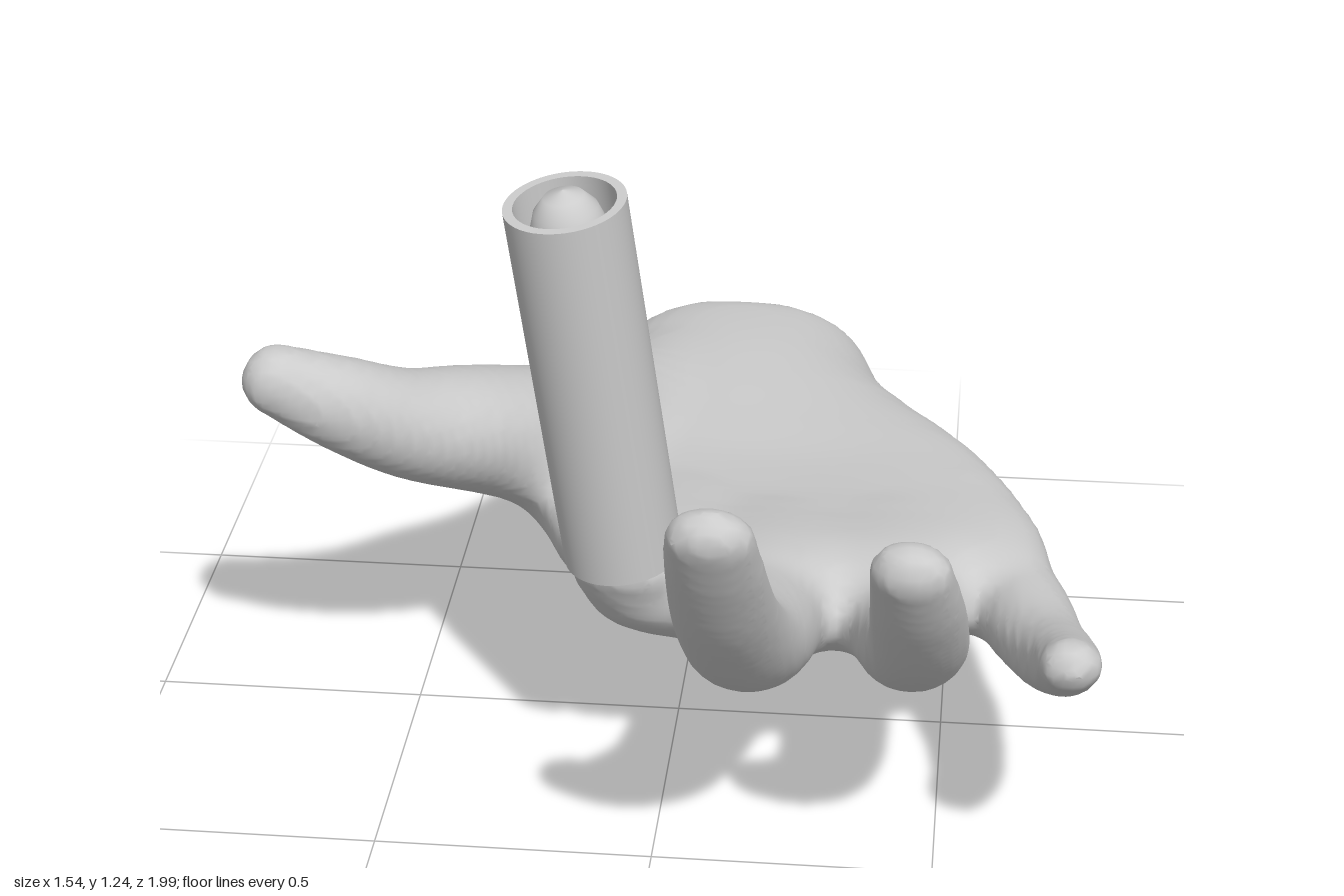
import * as THREE from 'three';

const { abs, max, min, floor } = Math;

// Catmull-Rom sample of every column of a table of rows, u in 0..1
function sample(rows, u) {
  const last = rows.length - 1;
  const i = min(floor(u * last), last - 1);
  const t = u * last - i;
  const row = (k) => rows[max(0, min(last, k))];
  return rows[0].map((_, c) => {
    const a = row(i - 1)[c], b = row(i)[c], d = row(i + 1)[c], e = row(i + 2)[c];
    return b + 0.5 * t * (d - a + t * (2 * a - 5 * b + 4 * d - e + t * (3 * (b - d) + e - a)));
  });
}

// Smooth union and intersection of two distances
function blend(a, b, k) {
  const h = max(k - abs(a - b), 0) / k;
  return min(a, b) - h * h * k / 4;
}
const cut = (a, b, k) => -blend(-a, -b, k);

// Approximate distance to an ellipsoid; a higher power makes it boxier
function ellipsoid(p, r, power = 2) {
  let sum = 0, slope = 0;
  p.forEach((v, i) => {
    const q = max(abs(v), 1e-5) / r[i];
    sum += q ** power;
    slope += (q / r[i]) ** 2;
  });
  const k = sum ** (1 / power);
  return k * (k - 1) / Math.sqrt(slope);
}

// Digit rows: x, y, z, half width, half thickness; both ends are round
function digitField(rows, steps = 32) {
  const up = new THREE.Vector3(0, 1, 0);
  const box = new THREE.Box3();
  const stations = Array.from({ length: steps + 1 }, (_, i) => {
    const [x, y, z, w, t] = sample(rows, i / steps);
    const at = new THREE.Vector3(x, y, z);
    box.expandByPoint(at);
    return { at, w, t };
  });
  box.expandByScalar(0.27);
  const segments = stations.slice(1).map((b, i) => {
    const a = stations[i];
    const dir = b.at.clone().sub(a.at);
    const length = dir.length();
    dir.normalize();
    const wide = new THREE.Vector3().crossVectors(up, dir).normalize();
    return { a, b, dir, length, wide, thick: new THREE.Vector3().crossVectors(dir, wide) };
  });
  const offset = new THREE.Vector3();
  return (p) => {
    if (!box.containsPoint(p)) return 1;
    let best = 1;
    for (const { a, b, dir, length, wide, thick } of segments) {
      offset.subVectors(p, a.at);
      const along = offset.dot(dir);
      const s = max(0, min(1, along / length));
      const w = a.w + (b.w - a.w) * s, t = a.t + (b.t - a.t) * s;
      best = min(best, ellipsoid(
        [offset.dot(wide), offset.dot(thick), along - s * length], [w, t, (w + t) / 2]));
    }
    return best;
  };
}

// Palm rows: z, x min, x max, bottom y, edge y, top y, depth of the hollow
function palmField(rows) {
  let z, row;
  const rowAt = (value) => {
    const last = rows.length - 1;
    let i = 0;
    while (i < last - 1 && rows[i + 1][0] < value) i++;
    const t = (value - rows[i][0]) / (rows[i + 1][0] - rows[i][0]);
    return sample(rows, (i + max(0, min(1, t))) / last);
  };
  return (p) => {
    if (p.z !== z) {
      z = p.z;
      row = rowAt(z);
    }
    const [, x0, x1, low, mid, high, cup] = row;
    const x = p.x - (x0 + x1) / 2, half = (x1 - x0) / 2, y = p.y - mid;
    const top = high - mid - cup * max(0, 1 - (x / half) ** 2);
    let d = ellipsoid([x, y], [half, y > 0 ? top : mid - low], 2.3);
    // Front edge, slanted wrist end and the dent in it
    d = cut(d, z - 0.33, 0.08);
    d = cut(d, -0.985 - 0.11 * (p.y - 0.23) - z, 0.05);
    return cut(d, -ellipsoid([p.x - 0.05, p.y - 0.25, z + 1], [0.14, 0.075, 0.08]), 0.1);
  };
}

// Smooth skin where the field is zero, one vertex per crossed grid cell
function skin(field, low, high, cell) {
  const size = high.map((v, i) => floor((v - low[i]) / cell) + 1);
  const step = [1, size[0], size[0] * size[1]];
  const values = new Float32Array(step[2] * size[2]);
  const p = new THREE.Vector3();
  const eachPoint = (visit) => {
    for (let k = 0, n = 0; k < size[2]; k++)
      for (let j = 0; j < size[1]; j++)
        for (let i = 0; i < size[0]; i++, n++) visit(n, i, j, k);
  };
  eachPoint((n, i, j, k) => {
    values[n] = field(p.set(low[0] + i * cell, low[1] + j * cell, low[2] + k * cell));
  });

  const corner = (c) => [c & 1, (c >> 1) & 1, c >> 2];
  const shift = Array.from({ length: 8 }, (_, c) => corner(c).reduce((s, v, a) => s + v * step[a], 0));
  const vertexOf = new Map(), points = [], index = [];
  eachPoint((n, i, j, k) => {
    if (i === size[0] - 1 || j === size[1] - 1 || k === size[2] - 1) return;
    const sum = [0, 0, 0];
    let count = 0;
    for (let c = 0; c < 8; c++) for (let a = 0; a < 3; a++) {
      if (c & (1 << a)) continue;
      const v = values[n + shift[c]], w = values[n + shift[c] + step[a]];
      if (v < 0 === w < 0) continue;
      corner(c).forEach((o, axis) => { sum[axis] += o + (axis === a ? v / (v - w) : 0); });
      count++;
    }
    if (!count) return;
    vertexOf.set(n, points.length);
    points.push(new THREE.Vector3(...[i, j, k].map((o, a) => low[a] + (o + sum[a] / count) * cell)));
  });
  for (const n of vertexOf.keys()) for (let a = 0; a < 3; a++) {
    const inside = values[n] < 0;
    if (inside === values[n + step[a]] < 0) continue;
    const b = step[(a + 1) % 3], c = step[(a + 2) % 3];
    const quad = [n, n - b, n - b - c, n - c].map((m) => vertexOf.get(m));
    if (!inside) quad.reverse();
    index.push(quad[0], quad[1], quad[2], quad[0], quad[2], quad[3]);
  }
  const geometry = new THREE.BufferGeometry().setFromPoints(points);
  geometry.setIndex(index);
  geometry.computeVertexNormals();
  return geometry;
}

export function createModel() {
  const model = new THREE.Group();
  const grey = new THREE.MeshStandardMaterial({ color: 0xcccccc, side: THREE.DoubleSide });
  const add = (name, geometry, parent = model) => {
    const mesh = new THREE.Mesh(geometry, grey);
    mesh.name = name;
    parent.add(mesh);
  };

  const palm = palmField([
    [-1.05, -0.20, 0.29, 0.07, 0.23, 0.40, 0], [-0.90, -0.24, 0.325, 0.015, 0.23, 0.42, 0],
    [-0.75, -0.24, 0.365, 0.00, 0.25, 0.43, 0], [-0.60, -0.26, 0.43, 0.025, 0.285, 0.46, 0.03],
    [-0.40, -0.28, 0.53, 0.075, 0.33, 0.50, 0.075], [-0.25, -0.28, 0.595, 0.115, 0.36, 0.515, 0.09],
    [-0.10, -0.27, 0.645, 0.16, 0.38, 0.515, 0.075], [0.02, -0.235, 0.67, 0.20, 0.39, 0.515, 0.055],
    [0.12, -0.18, 0.65, 0.24, 0.39, 0.51, 0.03], [0.20, -0.14, 0.58, 0.275, 0.395, 0.50, 0.01],
    [0.28, -0.10, 0.46, 0.31, 0.40, 0.485, 0], [0.36, -0.04, 0.38, 0.34, 0.40, 0.46, 0],
  ]);
  // Thumb, stump of the index finger, middle, ring and little finger
  const thumb = digitField([
    [-0.13, 0.30, -0.72, 0.08, 0.08], [-0.205, 0.36, -0.48, 0.13, 0.12],
    [-0.28, 0.455, -0.24, 0.145, 0.13], [-0.395, 0.545, -0.075, 0.135, 0.117],
    [-0.50, 0.61, 0.04, 0.11, 0.10], [-0.605, 0.69, 0.125, 0.085, 0.085],
    [-0.705, 0.75, 0.165, 0.062, 0.065],
  ]);
  const fingers = [
    [[0.00, 0.36, -0.05, 0.09, 0.07], [-0.03, 0.40, 0.14, 0.11, 0.08],
      [-0.055, 0.44, 0.25, 0.105, 0.08], [-0.065, 0.475, 0.30, 0.10, 0.06]],
    [[0.18, 0.37, 0.05, 0.09, 0.07], [0.18, 0.40, 0.25, 0.118, 0.098],
      [0.175, 0.435, 0.42, 0.112, 0.10], [0.165, 0.52, 0.60, 0.10, 0.085],
      [0.152, 0.67, 0.77, 0.09, 0.07], [0.146, 0.80, 0.88, 0.082, 0.055],
      [0.142, 0.905, 0.95, 0.073, 0.047]],
    [[0.39, 0.36, 0.02, 0.08, 0.07], [0.42, 0.385, 0.25, 0.10, 0.09],
      [0.445, 0.43, 0.43, 0.095, 0.085], [0.463, 0.54, 0.61, 0.086, 0.07],
      [0.463, 0.68, 0.75, 0.079, 0.06], [0.453, 0.80, 0.84, 0.068, 0.05]],
    [[0.52, 0.36, -0.15, 0.06, 0.05], [0.625, 0.365, 0.15, 0.085, 0.083],
      [0.68, 0.40, 0.37, 0.073, 0.07], [0.708, 0.46, 0.52, 0.063, 0.06],
      [0.717, 0.53, 0.645, 0.053, 0.045]],
  ].map((rows) => digitField(rows));
  const hand = (p) => fingers.reduce(
    (d, finger) => blend(d, finger(p), 0.06), blend(palm(p), thumb(p), 0.1));
  add('hand', skin(hand, [-0.85, -0.06, -1.06], [0.86, 1.03, 1.06], 0.017));

  // Hollow tube standing in place of the index finger
  const base = new THREE.Vector3(-0.067, 0.515, 0.31);
  const top = new THREE.Vector3(-0.152, 1.215, 0.385);
  const length = base.distanceTo(top);
  const tube = new THREE.Group();
  tube.name = 'tube';
  tube.position.copy(base);
  tube.quaternion.setFromUnitVectors(
    new THREE.Vector3(0, 1, 0), top.clone().sub(base).normalize());
  model.add(tube);

  const lathe = (points) => new THREE.LatheGeometry(
    points.map(([r, y]) => new THREE.Vector2(r, y)), 48);
  add('tubeWall', lathe([[0.105, 0], [0.105, length]]), tube);
  add('tubeBase', lathe([[0, -0.005], [0.09, -0.005], [0.105, 0]]), tube);
  add('tubeRim', lathe([[0.105, length], [0.088, length]]), tube);
  add('tubeBore', lathe([[0.088, length], [0.088, length - 0.2]]), tube);
  add('tubeFloor', lathe([[0.088, length - 0.2], [0, length - 0.2]]), tube);

  // Pointed core inside the bore
  add('core', lathe([
    [0.07, length - 0.2], [0.07, length - 0.08], [0.066, length - 0.045],
    [0.055, length - 0.012], [0.035, length + 0.012], [0, length + 0.024],
  ]), tube);

  return model;
}
